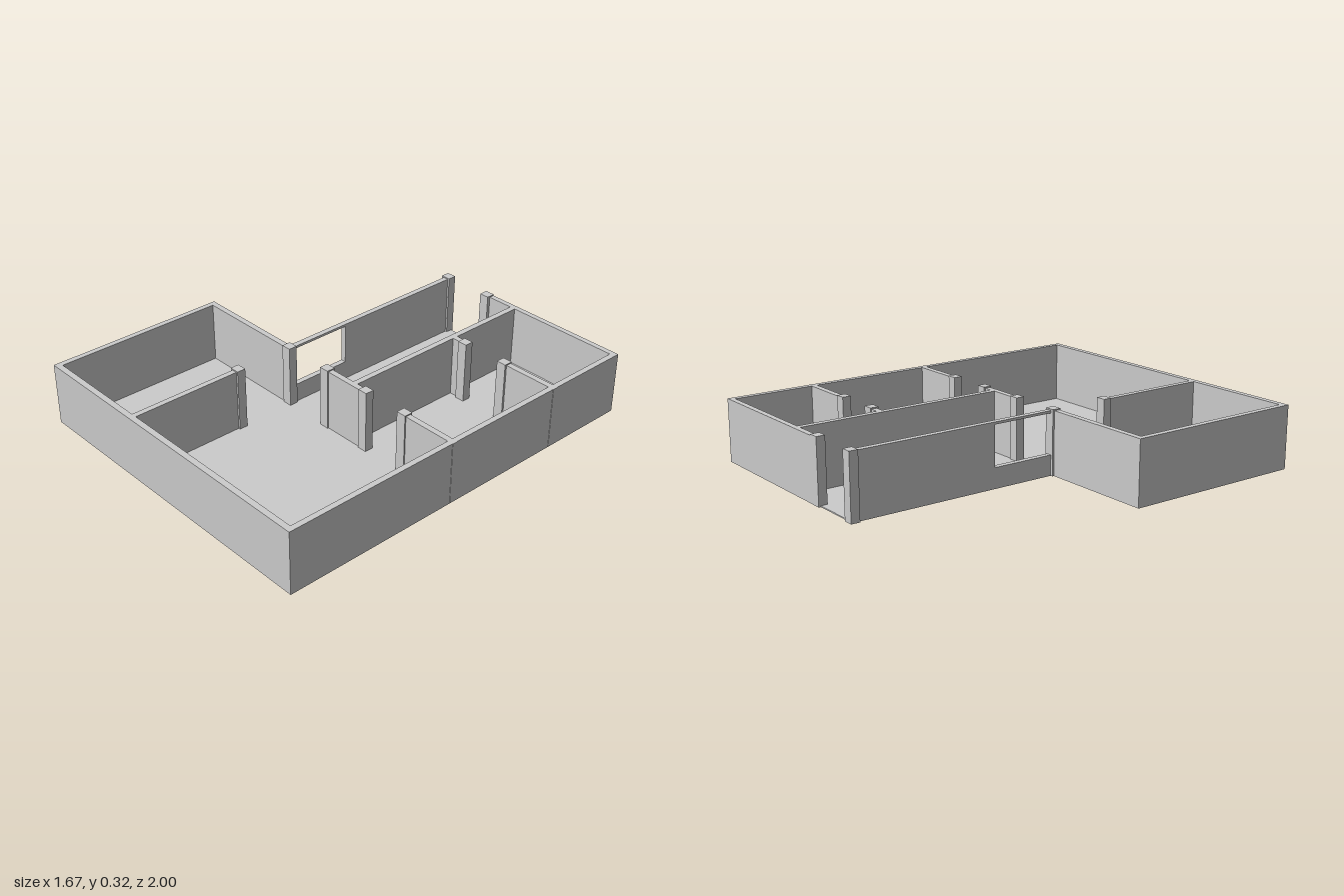
import * as THREE from 'three';

const FLOOR = 0.006, WALL_TOP = 0.31, POST_TOP = 0.316;
const material = new THREE.MeshStandardMaterial({ color: 0xcccccc });

// Box given by its extents on each axis
function block(name, x0, x1, z0, z1, y0 = FLOOR, y1 = WALL_TOP) {
  const mesh = new THREE.Mesh(new THREE.BoxGeometry(x1 - x0, y1 - y0, z1 - z0), material);
  mesh.position.set((x0 + x1) / 2, (y0 + y1) / 2, (z0 + z1) / 2);
  mesh.name = name;
  return mesh;
}

export function createModel() {
  const model = new THREE.Group();
  model.name = 'floorPlan';

  // L-shaped floor slab, slightly recessed at the entrance
  const outline = [
    [-0.835, 0.077], [-0.253, 0.077], [-0.253, -1], [-0.225, -1], [-0.225, -0.99],
    [0.01, -0.99], [0.01, -1], [0.833, -1], [0.833, 1], [-0.835, 1],
  ].map(([x, z]) => new THREE.Vector2(x, z));
  const slab = new THREE.ExtrudeGeometry(new THREE.Shape(outline), { depth: FLOOR, bevelEnabled: false });
  slab.rotateX(Math.PI / 2).translate(0, FLOOR, 0);
  const floor = new THREE.Mesh(slab, material);
  floor.name = 'floor';
  model.add(floor);

  // Outer walls
  const outer = new THREE.Group();
  outer.name = 'outerWalls';
  outer.add(
    block('frontWall', -0.835, 0.833, 0.97, 1),
    block('leftWall', 0.805, 0.833, -0.973, 0.97),
    block('backWall', 0.01, 0.833, -1, -0.973),
    block('rightWall', -0.835, -0.807, 0.106, 0.97),
    block('wingBackWall', -0.835, -0.225, 0.077, 0.106),
    block('corridorWall', -0.253, -0.225, -1, -0.25),
  );
  model.add(outer);

  // Wide window in the corridor wall: sill below, thin lintel above
  const windowOpening = new THREE.Group();
  windowOpening.name = 'corridorWindow';
  windowOpening.add(
    block('windowSill', -0.253, -0.225, -0.25, 0.077, FLOOR, 0.1),
    block('windowLintel', -0.253, -0.225, -0.25, 0.077, 0.298, WALL_TOP),
  );
  model.add(windowOpening);

  // Inner partitions
  const partitions = new THREE.Group();
  partitions.name = 'partitions';
  partitions.add(
    block('corridorPartition', 0.188, 0.217, -0.973, 0.077),
    block('hallPartition', 0.02, 0.29, 0.077, 0.106),
    block('hallPartitionLeft', 0.53, 0.835, 0.077, 0.106),
    block('roomPartitionStub', 0.217, 0.29, -0.567, -0.538),
    block('roomPartitionLeft', 0.53, 0.835, -0.567, -0.538),
    block('wingPartition', -0.253, -0.225, 0.4, 0.97),
  );
  model.add(partitions);

  // Door posts at the end of every partition, a little taller than the walls
  const posts = new THREE.Group();
  posts.name = 'doorPosts';
  const centres = [
    [-0.24, -0.979], [0.027, -0.979], [0.285, -0.55], [0.53, -0.55], [-0.24, 0.09],
    [0.027, 0.09], [0.285, 0.09], [0.53, 0.09], [-0.24, 0.397],
  ];
  for (const [x, z] of centres) {
    posts.add(block('doorPost', x - 0.025, x + 0.025, z - 0.022, z + 0.022, 0, POST_TOP));
  }
  model.add(posts);

  return model;
}
